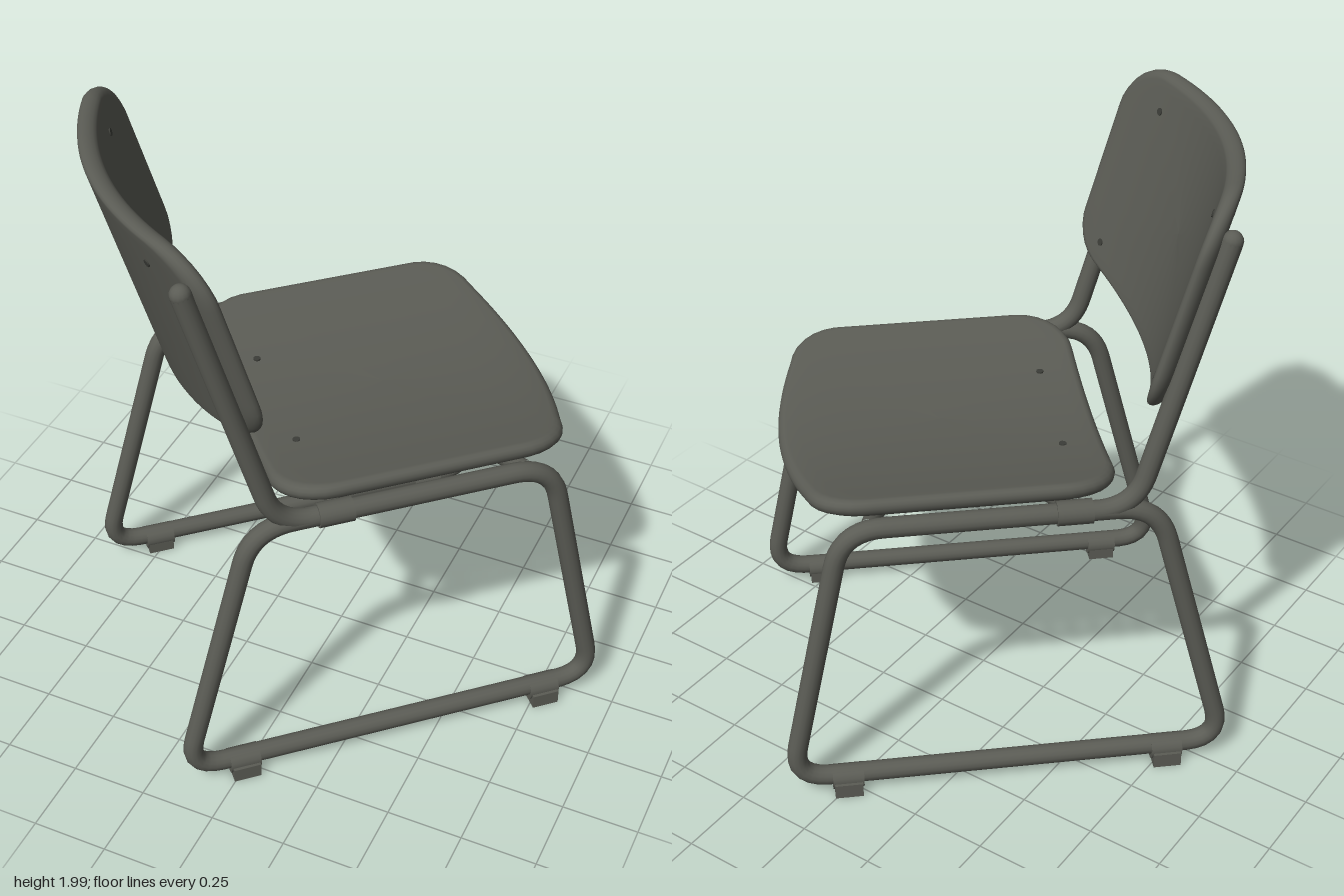
import * as THREE from 'three';

const frameMat = new THREE.MeshStandardMaterial({ color: 0x5b5c55 });
frameMat.name = 'dark grey';
const screwMat = new THREE.MeshStandardMaterial({ color: 0x3c3d38 });
screwMat.name = 'screw grey';
const R = 0.032; // tube radius

function add(parent, name, geo, mat = frameMat) {
  const mesh = new THREE.Mesh(geo, mat);
  mesh.name = name;
  parent.add(mesh);
  return mesh;
}

// Polyline with rounded corners, as one curve
function roundedPath(points, r, closed = false) {
  const p = points.map(a => new THREE.Vector3(...a));
  const n = p.length;
  const path = new THREE.CurvePath();
  const toward = (a, b) => a.clone().add(b.clone().sub(a).setLength(r));
  let last = closed ? toward(p[0], p[1]) : p[0];
  for (let i = 1; i < (closed ? n + 1 : n - 1); i++) {
    const c = p[i % n], start = toward(c, p[i - 1]), end = toward(c, p[(i + 1) % n]);
    path.add(new THREE.LineCurve3(last, start));
    path.add(new THREE.QuadraticBezierCurve3(start, c, end));
    last = end;
  }
  if (!closed) path.add(new THREE.LineCurve3(last, p[n - 1]));
  return path;
}

// Rounded rectangle with a bowed lower edge
function outline(w, bottom, top, bulge, r) {
  const s = new THREE.Shape();
  s.moveTo(-w + r, bottom);
  s.quadraticCurveTo(0, bottom - 2 * bulge, w - r, bottom);
  s.quadraticCurveTo(w - r * 0.15, bottom + r * 0.15, w, bottom + r);
  s.lineTo(w, top - r);
  s.quadraticCurveTo(w - r * 0.15, top - r * 0.15, w - r, top);
  s.lineTo(-w + r, top);
  s.quadraticCurveTo(-w + r * 0.15, top - r * 0.15, -w, top - r);
  s.lineTo(-w, bottom + r);
  s.quadraticCurveTo(-w + r * 0.15, bottom + r * 0.15, -w + r, bottom);
  return s.getSpacedPoints(96).slice(0, -1);
}

// Bent shell with a rounded rim; place(u, v, h) maps it into space
function shell(points, thickness, place) {
  const t = thickness / 2, rings = [];
  const inner = [0, 0.2, 0.4, 0.6, 0.75, 0.87];
  inner.forEach(s => rings.push([s, t]));
  for (let i = 0; i <= 8; i++) {
    const a = Math.PI / 2 - (i / 8) * Math.PI;
    rings.push([0.945 + 0.055 * Math.cos(a), t * Math.sin(a)]);
  }
  inner.reverse().forEach(s => rings.push([s, -t]));
  const pos = [], idx = [], n = points.length;
  rings.forEach(([s, h], i) => points.forEach((p, j) => {
    pos.push(...place(p.x * s, p.y * s, h));
    if (i === rings.length - 1) return;
    const a = i * n + j, d = i * n + (j + 1) % n;
    idx.push(a, a + n, d + n, a, d + n, d);
  }));
  const geo = new THREE.BufferGeometry();
  geo.setAttribute('position', new THREE.Float32BufferAttribute(pos, 3));
  geo.setIndex(idx);
  geo.computeVertexNormals();
  return geo;
}

const seatY = (x, z) => 0.99 + 0.07 * (x / 0.535) ** 2 - 0.25 * Math.max(0, z - 0.5) ** 2;
const backZ = (x, y) => -0.41 - 0.28 * (y - 1.35) - 0.15 * (1 - (x / 0.565) ** 2);

export function createModel() {
  const model = new THREE.Group();
  model.name = 'chair';
  const chair = new THREE.Group();
  chair.name = 'chairBody';
  chair.rotation.y = THREE.MathUtils.degToRad(132.4);
  model.add(chair);

  // Dished seat and curved backrest
  add(chair, 'seat', shell(outline(0.535, -0.46, 0.495, 0.06, 0.15), 0.06,
    (u, v, h) => [u, seatY(u, 0.14 - v) + h, 0.14 - v]));
  add(chair, 'backrest', shell(outline(0.565, -0.33, 0.36, 0.05, 0.14), 0.06,
    (u, v, h) => [u, 1.63 + v, backZ(u, 1.63 + v) + h]));

  for (const s of [-1, 1]) {
    const side = new THREE.Group();
    side.name = s > 0 ? 'leftFrame' : 'rightFrame';
    chair.add(side);

    // Closed sled loop
    const loop = roundedPath([
      [s * 0.567, 0.06, 0.7], [s * 0.545, 1.0, 0.505],
      [s * 0.545, 1.0, -0.46], [s * 0.567, 0.06, -0.71]], 0.13, true);
    add(side, 'legLoop', new THREE.TubeGeometry(loop, 160, R, 14, true));

    // Back post with rounded end, and the sleeve joining it to the rail
    const post = roundedPath([
      [s * 0.545, 1.0, -0.18], [s * 0.545, 1.0, -0.385], [s * 0.535, 1.88, -0.63]], 0.12);
    add(side, 'backPost', new THREE.TubeGeometry(post, 70, R, 14));
    add(side, 'postCap', new THREE.SphereGeometry(R, 14, 10)).position.set(s * 0.535, 1.88, -0.63);
    const sleeve = add(side, 'sleeve', new THREE.CylinderGeometry(0.039, 0.039, 0.11, 18));
    sleeve.rotation.x = Math.PI / 2;
    sleeve.position.set(s * 0.545, 1.0, -0.2);

    // Curved support under the seat
    const support = new THREE.CatmullRomCurve3([
      [0.54, 1.0, 0.42], [0.36, 0.95, 0.37], [0.21, 0.915, 0.24], [0.17, 0.91, 0.1],
      [0.21, 0.915, -0.03], [0.36, 0.95, -0.15], [0.54, 1.0, -0.19]
    ].map(([x, y, z]) => new THREE.Vector3(s * x, y, z)));
    add(side, 'seatSupport', new THREE.TubeGeometry(support, 60, 0.029, 12));

    // Feet clipped round the bottom rail
    for (const z of [-0.52, 0.52]) {
      const clip = add(side, 'footClip', new THREE.CylinderGeometry(0.04, 0.04, 0.1, 16));
      clip.rotation.x = Math.PI / 2;
      clip.position.set(s * 0.567, 0.05, z);
      add(side, 'footPad', new THREE.BoxGeometry(0.088, 0.05, 0.09)).position.set(s * 0.573, 0.025, z);
    }

    // Small screw heads on the seat and on both faces of the backrest
    const head = new THREE.CylinderGeometry(0.012, 0.012, 0.006, 12);
    add(side, 'seatScrew', head, screwMat).position.set(s * 0.22, seatY(0.22, -0.22) + 0.031, -0.22);
    for (const [x, y] of [[0.36, 1.88], [0.43, 1.39]]) {
      for (const f of [-1, 1]) {
        const screw = add(side, 'backScrew', head, screwMat);
        const normal = new THREE.Vector3(-s * 0.3 * x / 0.565 ** 2, 0.28, 1).normalize();
        screw.quaternion.setFromUnitVectors(new THREE.Vector3(0, 1, 0), normal);
        screw.position.set(s * x, y, backZ(x, y) + f * 0.031);
      }
    }
  }
  return model;
}
